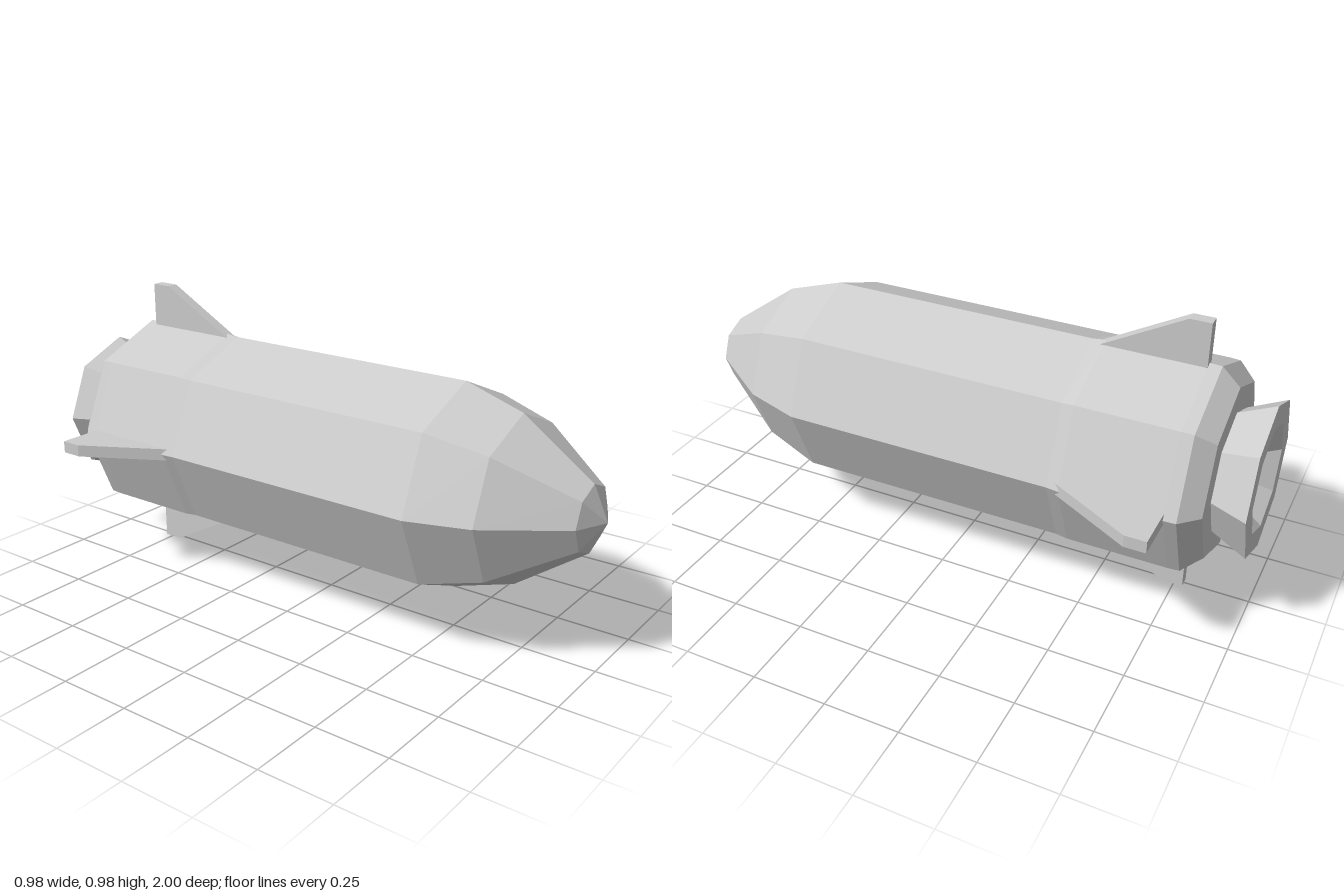
import * as THREE from 'three';

export function createModel() {
  const group = new THREE.Group();
  group.name = 'rocket';
  const axis = 0.49; // height of the centre line
  const mat = new THREE.MeshStandardMaterial({ color: 0xcccccc, flatShading: true });

  // Eight-sided solid of revolution along z, profile as [radius, z] from back to front
  const turned = (name, profile) => {
    const geo = new THREE.LatheGeometry(profile.map(([r, z]) => new THREE.Vector2(r, z)), 8);
    geo.rotateX(Math.PI / 2);
    const mesh = new THREE.Mesh(geo, mat);
    mesh.name = name;
    mesh.position.y = axis;
    group.add(mesh);
  };

  // Hull with chamfered tail, slightly raised fin collar and blunt nose
  turned('hull', [
    [0, -0.88], [0.29, -0.88], [0.348, -0.82], [0.35, -0.78], [0.35, -0.45],
    [0.345, -0.41], [0.345, 0.51], [0.28, 0.71], [0.11, 0.95], [0, 1],
  ]);

  // Flared engine nozzle with a hollow, tapering throat
  turned('nozzle', [
    [0, -0.885], [0.08, -0.885], [0.18, -1], [0.258, -1], [0.203, -0.88],
  ]);

  // Fin outline: shape x is -z, shape y is the distance from the centre line
  const outline = new THREE.Shape([
    [0.41, 0.325], [0.78, 0.325], [0.78, 0.49], [0.71, 0.49],
  ].map(([x, y]) => new THREE.Vector2(x, y)));
  const finGeo = new THREE.ExtrudeGeometry(outline, { depth: 0.04, bevelEnabled: false });
  finGeo.translate(0, 0, -0.02);
  finGeo.rotateY(Math.PI / 2);

  // Four fins around the tail
  ['topFin', 'rightFin', 'bottomFin', 'leftFin'].forEach((name, i) => {
    const fin = new THREE.Mesh(finGeo, mat);
    fin.name = name;
    fin.position.y = axis;
    fin.rotation.z = i * Math.PI / 2;
    group.add(fin);
  });

  return group;
}
